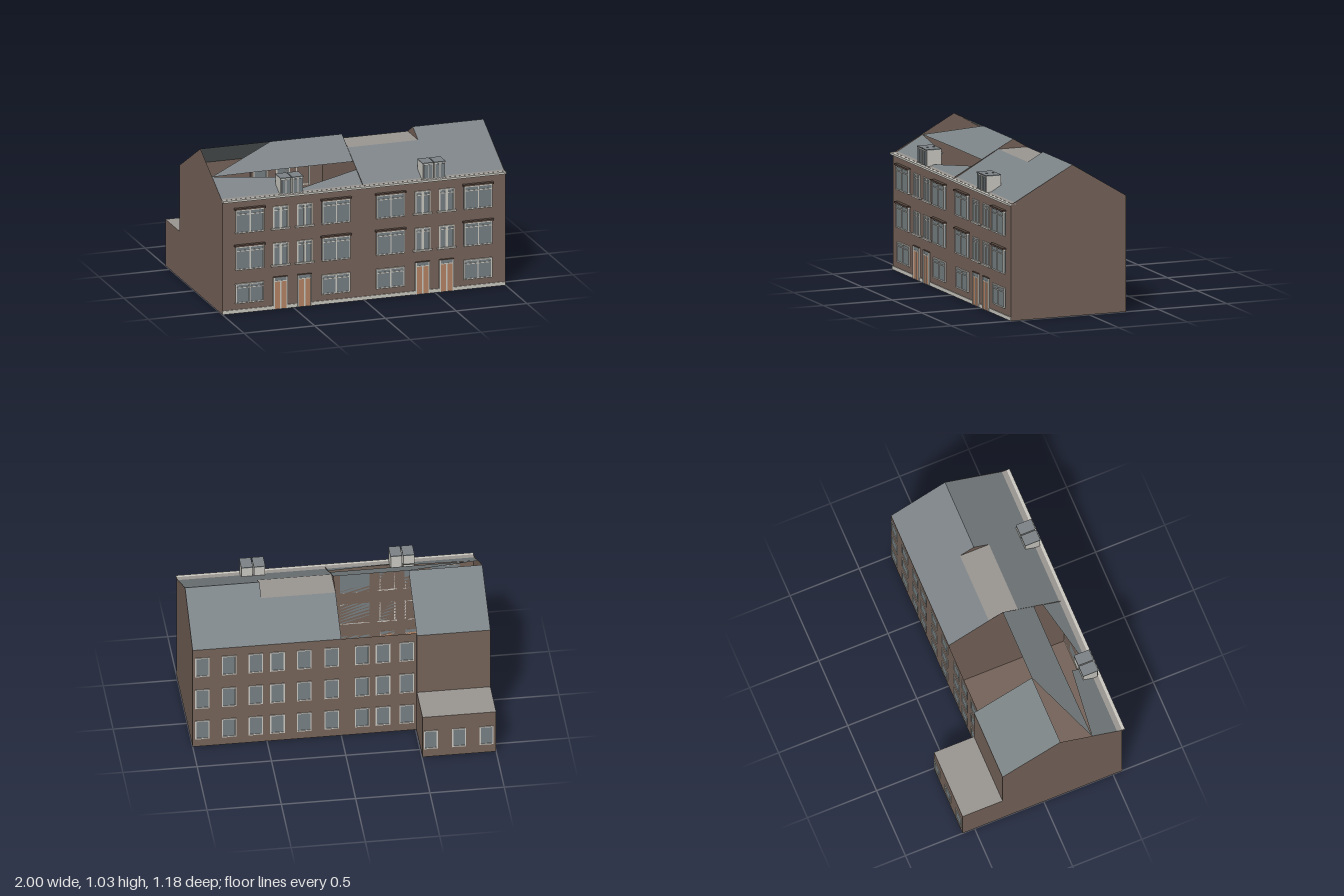
import * as THREE from 'three';

const make = (name, color, side = THREE.FrontSide) => {
  const m = new THREE.MeshStandardMaterial({ color, side });
  m.name = name;
  return m;
};

export function createModel() {
  const model = new THREE.Group();
  const brick = make('brick', 0x76645a, THREE.DoubleSide);
  const slate = make('slate', 0x7c8386, THREE.DoubleSide);
  const flatRoof = make('flatRoof', 0x9b9692, THREE.DoubleSide);
  const trim = make('trim', 0xcbc9c1);
  const glass = make('glass', 0x788184);
  const door = make('doorWood', 0xb58465);
  const lintelMat = make('lintel', 0x57473f);

  // Flat convex panel through the given corners
  const panel = (parent, name, mat, pts) => {
    const v = [];
    for (let i = 1; i < pts.length - 1; i++) v.push(...pts[0], ...pts[i], ...pts[i + 1]);
    const g = new THREE.BufferGeometry();
    g.setAttribute('position', new THREE.Float32BufferAttribute(v, 3));
    g.computeVertexNormals();
    const mesh = new THREE.Mesh(g, mat);
    mesh.name = name;
    parent.add(mesh);
  };
  // Box given by its extents
  const box = (parent, name, mat, x0, x1, y0, y1, z0, z1) => {
    const mesh = new THREE.Mesh(new THREE.BoxGeometry(x1 - x0, y1 - y0, z1 - z0), mat);
    mesh.position.set((x0 + x1) / 2, (y0 + y1) / 2, (z0 + z1) / 2);
    mesh.name = name;
    parent.add(mesh);
  };
  const group = (name) => {
    const g = new THREE.Group();
    g.name = name;
    model.add(g);
    return g;
  };

  const F = 0.565, B = -0.27, BL = -0.298, AN = -0.587; // front, back, left back, annex back
  const S = -0.505, EAVE = 0.79, RIDGE = 1.028, RZ = 0.12, FE = 0.545;
  const roofY = (z, back = B) => z >= RZ
    ? RIDGE - (RIDGE - EAVE) * (z - RZ) / (FE - RZ)
    : RIDGE - (RIDGE - EAVE) * (RZ - z) / (RZ - back);

  // Walls of the hollow shell
  const walls = group('walls');
  const gable = (name, x, back) => panel(walls, name, brick, [
    [x, RIDGE, RZ], [x, EAVE, back], [x, 0, back], [x, 0, F], [x, EAVE, F], [x, EAVE, FE]]);
  gable('leftGable', 1, B);
  gable('partyWall', 0, B);
  gable('rightGable', -1, BL);
  const wallZ = (name, x0, x1, y1, z) => panel(walls, name, brick,
    [[x0, 0, z], [x1, 0, z], [x1, y1, z], [x0, y1, z]]);
  wallZ('frontWall', -1, 1, EAVE, F);
  wallZ('backWall', S, 1, EAVE, B);
  wallZ('rearRightWall', -1, S, EAVE, BL);
  panel(walls, 'wallStep', brick, [[S, 0, B], [S, 0, BL], [S, EAVE, BL], [S, EAVE, B]]);
  panel(walls, 'floor', brick, [[-1, 0, F], [1, 0, F], [1, 0, B], [-1, 0, B]]);

  // Low rear annex
  const annex = group('annex');
  const AH = 0.325;
  for (const x of [-1, S]) panel(annex, 'annexSide', brick, [[x, 0, BL], [x, 0, AN], [x, AH, AN], [x, AH, BL]]);
  panel(annex, 'annexBack', brick, [[-1, 0, AN], [S, 0, AN], [S, AH, AN], [-1, AH, AN]]);
  panel(annex, 'annexFloor', brick, [[-1, 0, AN], [S, 0, AN], [S, 0, B], [-1, 0, B]]);
  panel(annex, 'annexRoof', flatRoof, [[-1, AH, AN], [S, AH, AN], [S, AH, BL], [-1, AH, BL]]);

  // Roof slopes, partly open on the right half
  const roof = group('roof');
  const slope = (name, pts, back) => panel(roof, name, slate, pts.map(([x, z]) => [x, roofY(z, back), z]));
  slope('rearRightSlope', [[-1, BL], [S, BL], [S, RZ], [-1, RZ]], BL);
  slope('upperTriangle', [[S, RZ], [-1, 0.35], [S, 0.345]]);
  slope('lowerRightSlope', [[-1, 0.35], [S, 0.41], [S, FE], [-1, FE]]);
  slope('upperMiddleSlope', [[S, RZ], [0, RZ], [0, 0.345], [S, 0.345]]);
  slope('lowerMiddleSlope', [[0, 0.41], [0, FE], [S, FE], [S, 0.53]]);
  const Z0 = 0.02, Z1 = 0.23, FY = roofY(Z1);
  slope('frontLeftSlope', [[0.5, RZ], [1, RZ], [1, FE], [0.5, FE]]);
  slope('rearLeftSlope', [[0.5, RZ], [1, RZ], [1, B], [0.5, B]]);
  slope('cutFrontSlope', [[0, Z1], [0.5, Z1], [0.5, FE], [0, FE]]);
  slope('cutRearSlope', [[0, Z0], [0.5, Z0], [0.5, B], [0, B]]);
  panel(roof, 'flatTop', flatRoof, [[0, FY, Z0], [0.5, FY, Z0], [0.5, FY, Z1], [0, FY, Z1]]);
  panel(roof, 'ridgeStep', brick, [[0.5, FY, Z0], [0.5, RIDGE, RZ], [0.5, FY, Z1]]);

  // Cornice and plinth
  box(model, 'cornice', trim, -1, 1, 0.783, 0.797, F, 0.587);
  box(model, 'gutter', flatRoof, -1, 1, 0.788, 0.798, 0.53, F);
  box(model, 'plinth', trim, -1, 1, 0, 0.025, F, 0.57);

  // Framed window: pane, border and glazing bars; dir is +1 for front, -1 for back
  const windowUnit = (name, x0, x1, y0, y1, z, depth, dir, bar, mullion, transom) => {
    const g = group(name);
    const zb = (n, m, a, b, c, d, p, q) =>
      box(g, n, m, a, b, c, d, Math.min(z + dir * p, z + dir * q), Math.max(z + dir * p, z + dir * q));
    const f = depth + 0.004, t = bar;
    zb('pane', glass, x0 + 0.001, x1 - 0.001, y0 + 0.001, y1 - 0.001, 0, depth);
    zb('frameSide', trim, x0, x0 + t, y0, y1, depth - 0.004, f);
    zb('frameSide', trim, x1 - t, x1, y0, y1, depth - 0.004, f);
    zb('frameBottom', trim, x0, x1, y0, y0 + t, 0, f);
    zb('frameTop', trim, x0, x1, y1 - t, y1, 0, f);
    const c = (x0 + x1) / 2;
    if (mullion) zb('mullion', trim, c - mullion / 2, c + mullion / 2, y0, y1, depth, f);
    if (transom) zb('transom', trim, x0, x1, transom - 0.003, transom + 0.003, depth, f);
    return g;
  };

  // Front windows and doors
  const floors = [[0.56, 0.725, 0.692], [0.303, 0.468, 0.437]];
  for (const cx of [-0.81, -0.2, 0.185, 0.803]) {
    for (const [y0, y1, tr] of floors) {
      const g = windowUnit('wideWindow', cx - 0.1, cx + 0.1, y0, y1, F, 0.015, 1, 0.008, 0.008, tr);
      box(g, 'lintel', lintelMat, cx - 0.108, cx + 0.108, y1, y1 + 0.011, F, 0.591);
    }
    windowUnit('groundWindow', cx - 0.1, cx + 0.1, 0.068, 0.206, F, 0.008, 1, 0.008, 0.008, 0.178);
  }
  for (const cx of [-0.59, -0.42, 0.413, 0.583]) {
    for (const [y0, y1, tr] of floors) {
      const g = windowUnit('narrowWindow', cx - 0.054, cx + 0.054, y0, y1 - 0.005, F, 0.004, 1, 0.008, 0.016, tr);
      box(g, 'sill', trim, cx - 0.066, cx + 0.066, y0 - 0.003, y0 + 0.008, F, 0.58);
    }
    const d = group('frontDoor');
    box(d, 'doorLeaf', door, cx - 0.047, cx + 0.047, 0.004, 0.2, F, 0.572);
    box(d, 'fanlight', glass, cx - 0.047, cx + 0.047, 0.2, 0.222, F, 0.572);
    for (const s of [-1, 1]) box(d, 'doorPost', trim, cx + s * 0.046 - 0.005, cx + s * 0.046 + 0.005, 0, 0.222, F, 0.575);
    box(d, 'centrePost', trim, cx - 0.005, cx + 0.005, 0, 0.2, F, 0.574);
    box(d, 'doorRail', trim, cx - 0.047, cx + 0.047, 0.193, 0.2, F, 0.574);
    box(d, 'doorHead', lintelMat, cx - 0.051, cx + 0.051, 0.222, 0.228, F, 0.575);
  }

  // Rear windows
  for (const cx of [0.935, 0.755, 0.575, 0.43, 0.25, 0.065, -0.14, -0.28, -0.44])
    for (const [y0, y1] of [[0.57, 0.725], [0.31, 0.465], [0.06, 0.21]])
      windowUnit('rearWindow', cx - 0.049, cx + 0.049, y0, y1, B, 0.001, -1, 0.008);
  for (const cx of [-0.56, -0.75, -0.935])
    windowUnit('annexWindow', cx - 0.047, cx + 0.047, 0.065, 0.213, AN, 0.001, -1, 0.008);

  // Paired dormers on the front eave
  for (const cx of [-0.508, 0.496])
    for (const s of [-1, 1]) {
      const c = cx + s * 0.042, g = group('dormer');
      box(g, 'dormerBody', trim, c - 0.037, c + 0.037, EAVE, 0.905, 0.458, 0.562);
      box(g, 'dormerRoof', slate, c - 0.039, c + 0.039, 0.905, 0.912, 0.456, 0.567);
      for (const k of [-1, 1]) {
        const w = c + k * 0.017;
        box(g, 'dormerPane', glass, w - 0.014, w + 0.014, 0.803, 0.897, 0.56, 0.566);
      }
    }
  return model;
}
